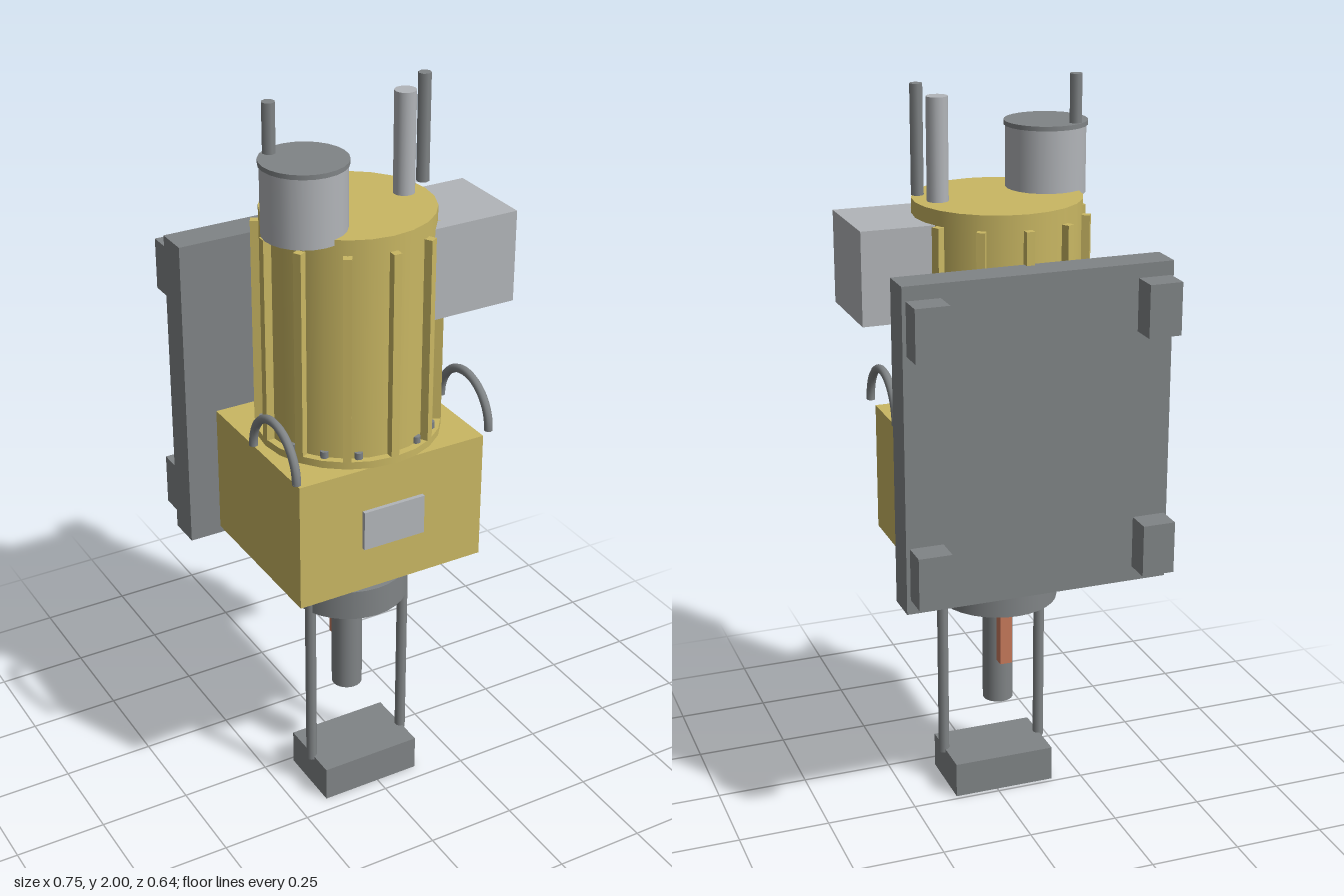
import * as THREE from 'three';

const mat = (name, color) => {
  const m = new THREE.MeshStandardMaterial({ color });
  m.name = name;
  return m;
};

export function createModel() {
  const yellow = mat('yellow paint', 0xc9b763);
  const dark = mat('dark steel', 0x808486);
  const light = mat('light grey', 0xb2b5b9);
  const copper = mat('copper', 0xc87a5c);

  const root = new THREE.Group();
  root.name = 'verticalMotor';

  const add = (name, geo, material, x = 0, y = 0, z = 0) => {
    const mesh = new THREE.Mesh(geo, material);
    mesh.name = name;
    mesh.position.set(x, y, z);
    root.add(mesh);
    return mesh;
  };
  // Box given by its limits on each axis
  const box = (name, material, x0, x1, y0, y1, z0, z1) =>
    add(name, new THREE.BoxGeometry(x1 - x0, y1 - y0, z1 - z0), material,
      (x0 + x1) / 2, (y0 + y1) / 2, (z0 + z1) / 2);
  // Upright cylinder given by centre, radius and height limits
  const post = (name, material, x, z, r, y0, y1, sides = 24) =>
    add(name, new THREE.CylinderGeometry(r, r, y1 - y0, sides), material, x, (y0 + y1) / 2, z);

  const CX = -0.02, CZ = 0.067; // motor axis

  // Gearbox housing with nameplate
  box('housing', yellow, -0.288, 0.249, 0.735, 1.09, -0.159, 0.298);
  box('nameplate', light, -0.108, 0.069, 0.86, 0.97, 0.298, 0.309);

  // Mounting plate and its four feet
  box('backPlate', dark, -0.375, 0.34, 0.715, 1.575, -0.249, -0.159);
  for (const [x0, x1] of [[-0.368, -0.28], [0.241, 0.33]])
    for (const [y0, y1] of [[0.755, 0.895], [1.4, 1.538]])
      box('mountingFoot', dark, x0, x1, y0, y1, -0.32, -0.249);

  // Motor body and flange
  post('motorBody', yellow, CX, CZ, 0.221, 1.09, 1.7);
  post('motorFlange', yellow, CX, CZ, 0.241, 1.09, 1.11);

  // Cooling fins around the body
  for (let i = 0; i < 12; i++) {
    const a = (i / 12) * Math.PI * 2;
    const fin = add('coolingFin', new THREE.BoxGeometry(0.022, 0.55, 0.031), yellow,
      CX + Math.sin(a) * 0.2255, 1.385, CZ + Math.cos(a) * 0.2255);
    fin.rotation.y = a;
  }

  // Flange bolts
  for (let i = 0; i < 16; i++) {
    const a = (i / 16) * Math.PI * 2;
    post('flangeBolt', dark, CX + Math.sin(a) * 0.22, CZ + Math.cos(a) * 0.22, 0.011, 1.11, 1.128, 8);
  }

  // Terminal box
  box('terminalBox', light, 0.129, 0.373, 1.415, 1.66, -0.025, 0.225);

  // Reservoir with lid and vent
  post('reservoir', light, -0.18, 0.137, 0.106, 1.685, 1.864);
  post('reservoirLid', dark, -0.18, 0.137, 0.11, 1.862, 1.874);
  post('ventPipe', dark, -0.234, 0.065, 0.017, 1.87, 2, 8);

  // Pipes on top of the motor
  post('cablePipe', light, 0.141, 0.065, 0.028, 1.69, 1.965, 16);
  post('sidePipe', dark, 0.195, 0.065, 0.017, 1.72, 2, 8);

  // Arched lifting handles on both sides
  for (const x of [-0.299, 0.26]) {
    const handle = add('liftingHandle',
      new THREE.TorusGeometry(0.114, 0.0115, 10, 24, Math.PI), dark, x, 1.11, 0.19);
    handle.rotation.y = Math.PI / 2;
    for (const dz of [-0.114, 0.114])
      post('handleEnd', dark, x, 0.19 + dz, 0.0115, 1.107, 1.111, 10);
  }

  // Output shaft, collar and key
  post('outputShaft', dark, CX, 0.065, 0.042, 0.27, 0.735);
  post('shaftCollar', dark, CX, CZ, 0.163, 0.585, 0.67, 32);
  box('shaftKey', copper, CX - 0.017, CX + 0.017, 0.4, 0.575, -0.003, 0.035);

  // Guide rods and lower block
  for (const x of [-0.165, 0.122]) post('guideRod', dark, x, 0.122, 0.015, 0.09, 0.735, 10);
  box('lowerBlock', dark, -0.165, 0.122, 0, 0.1, 0.013, 0.206);

  return root;
}
